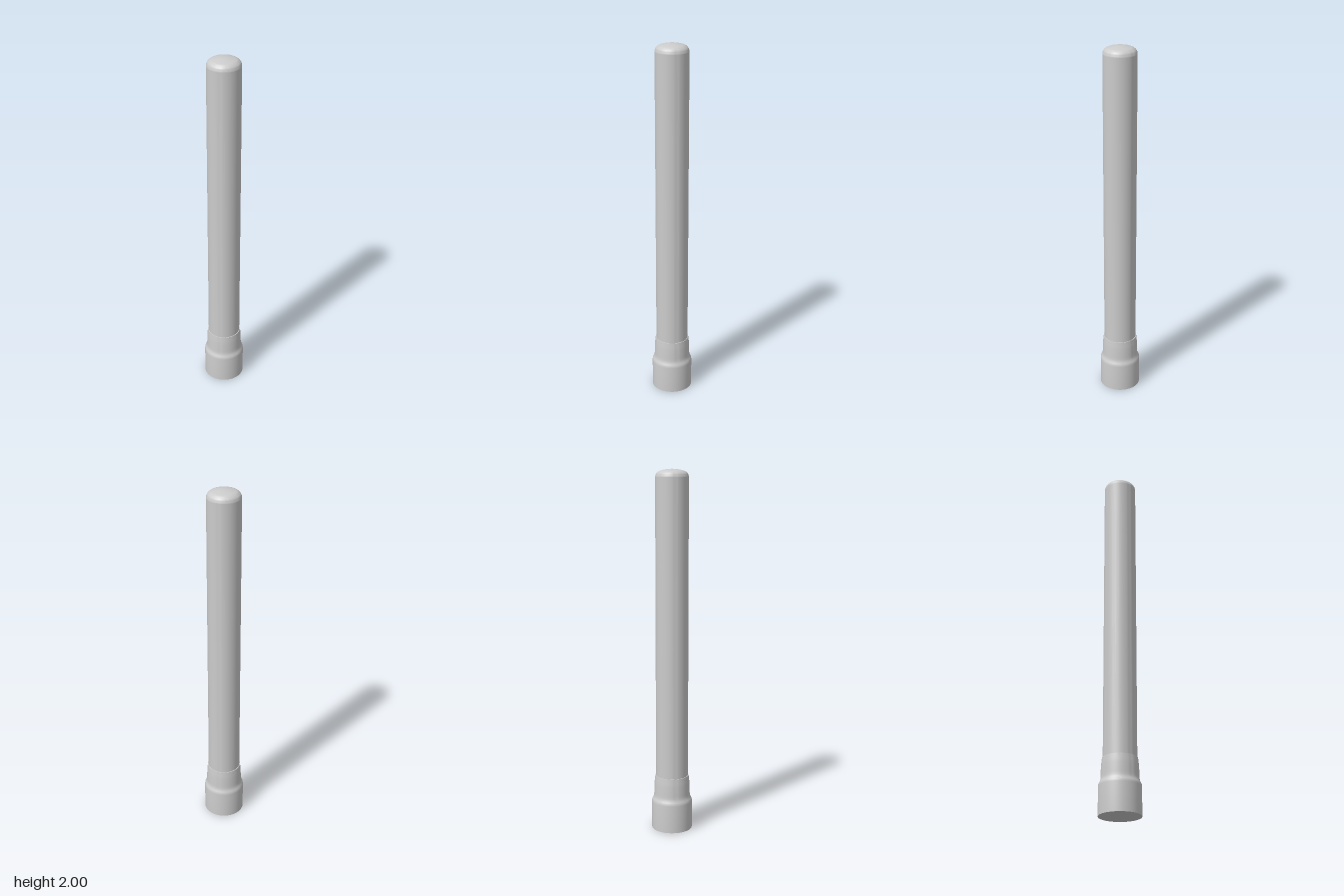
import * as THREE from 'three';
import { toCreasedNormals } from 'three/addons/utils/BufferGeometryUtils.js';

const material = new THREE.MeshStandardMaterial({ color: 0xcccccc });

// Turned part from [radius, height] pairs, listed bottom to top
function turned(name, profile) {
  const points = profile.map(([r, y]) => new THREE.Vector2(r, y));
  const geometry = toCreasedNormals(new THREE.LatheGeometry(points, 64), 0.6);
  const mesh = new THREE.Mesh(geometry, material);
  mesh.name = name;
  return mesh;
}

export function createModel() {
  const group = new THREE.Group();
  group.name = 'rodAntenna';

  // Stepped base sleeve with a soft shoulder and a thin rim around the rod
  group.add(turned('baseSleeve', [
    [0, 0], [0.113, 0], [0.113, 0.155], [0.112, 0.165], [0.108, 0.174],
    [0.103, 0.183], [0.101, 0.195], [0.1, 0.21], [0.099, 0.26],
    [0.097, 0.28], [0.094, 0.307], [0.088, 0.307],
  ]));

  // Long straight rod
  group.add(turned('rod', [[0.09, 0.29], [0.09, 1.957]]));

  // Rounded cap: elliptical shoulder running into a shallow crown
  const cap = [];
  for (let i = 0; i <= 8; i++) {
    const a = (i / 8) * Math.PI * 0.46;
    cap.push([0.05 + 0.04 * Math.cos(a), 1.957 + 0.036 * Math.sin(a)]);
  }
  cap.push([0.036, 1.997], [0.018, 1.9995], [0, 2]);
  group.add(turned('roundedCap', cap));

  return group;
}
